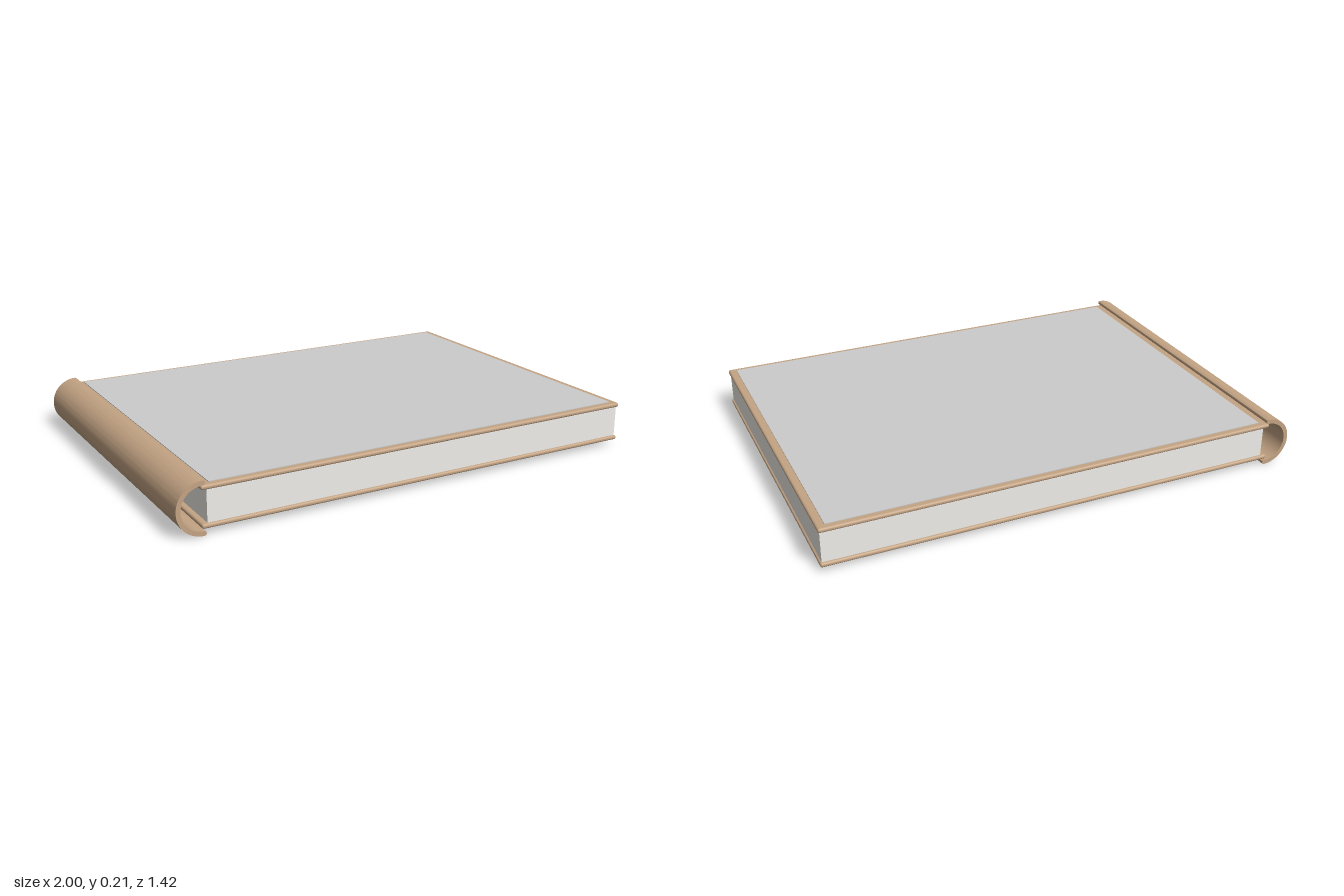
import * as THREE from 'three';
import { RoundedBoxGeometry } from 'three/addons/geometries/RoundedBoxGeometry.js';
import { toCreasedNormals } from 'three/addons/utils/BufferGeometryUtils.js';

const DEPTH = 1.42;

export function createModel() {
  const book = new THREE.Group();
  book.name = 'book';
  const leather = new THREE.MeshStandardMaterial({ color: 0xc4a484 });
  const paper = new THREE.MeshStandardMaterial({ color: 0xf0eeea });
  const grey = new THREE.MeshStandardMaterial({ color: 0xcccccc });

  const add = (name, geometry, material, x, y, z = 0) => {
    const mesh = new THREE.Mesh(geometry, material);
    mesh.name = name;
    mesh.position.set(x, y, z);
    book.add(mesh);
    return mesh;
  };

  // Thin boards with softened edges
  const board = new RoundedBoxGeometry(1.9, 0.018, DEPTH, 3, 0.008);
  add('backCover', board, leather, 0.047, 0.033);
  add('frontCover', board, leather, 0.047, 0.177);

  // Page block, slightly inset from the covers
  add('pages', new THREE.BoxGeometry(1.87, 0.13, 1.4), paper, 0.055, 0.105);

  // Thin grey panel on the front cover
  add('coverPanel', new THREE.BoxGeometry(1.83, 0.006, 1.37), grey, 0.05, 0.186);

  // Half-tube spine with rounded lips, open towards the pages
  const outer = 0.103, inner = 0.085;
  const mid = (outer + inner) / 2, lip = (outer - inner) / 2;
  const section = new THREE.Shape();
  section.absarc(0, 0, outer, Math.PI / 2, Math.PI * 1.5, false);
  section.absarc(0, -mid, lip, -Math.PI / 2, Math.PI / 2, false);
  section.absarc(0, 0, inner, Math.PI * 1.5, Math.PI / 2, true);
  section.absarc(0, mid, lip, -Math.PI / 2, Math.PI / 2, false);
  const spine = new THREE.ExtrudeGeometry(section, { depth: DEPTH, bevelEnabled: false, curveSegments: 24 });
  add('spine', toCreasedNormals(spine, 0.6), leather, -0.905 + 0.008, 0.103, -DEPTH / 2);

  return book;
}
